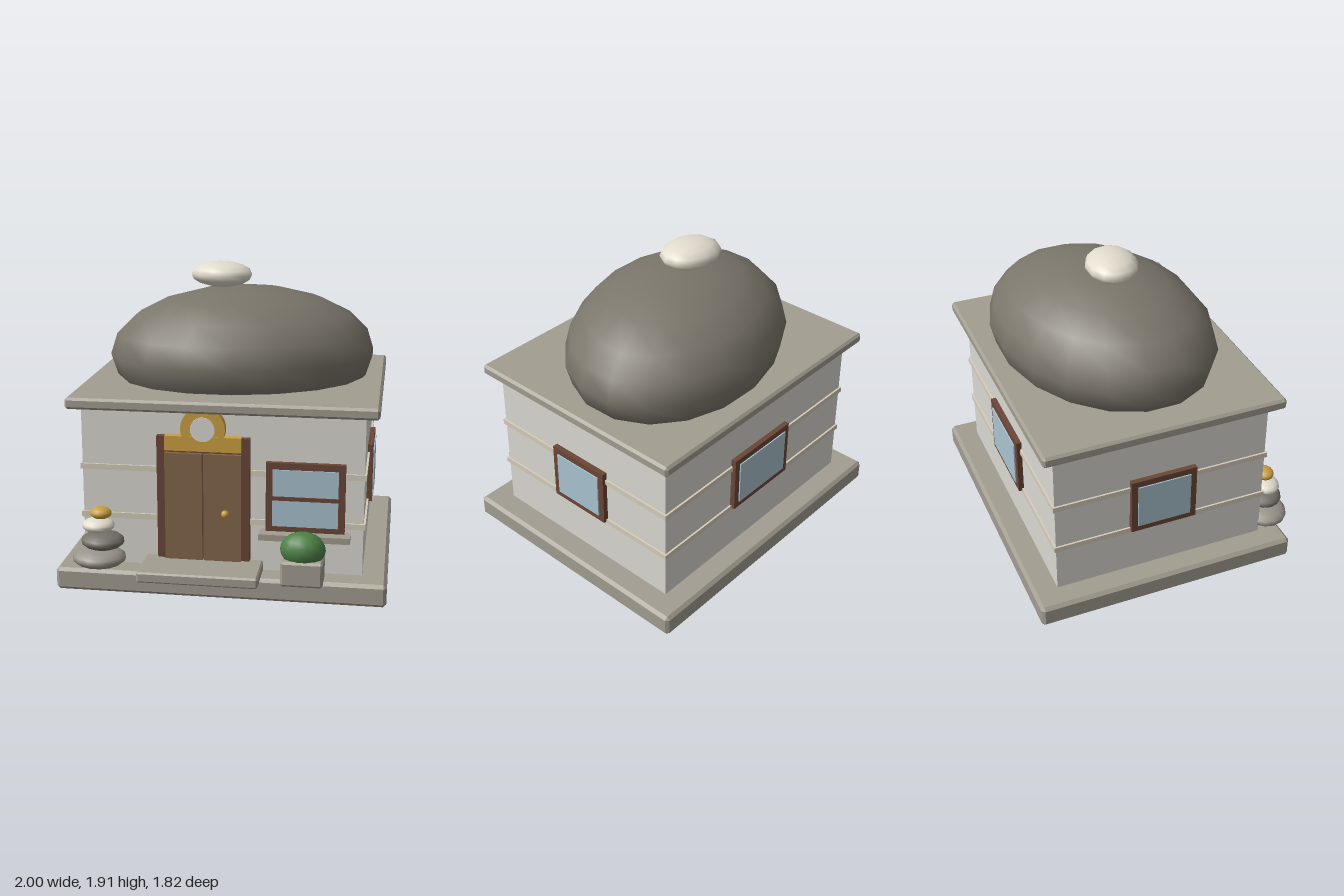
import * as THREE from 'three';
import { ConvexGeometry } from 'three/addons/geometries/ConvexGeometry.js';

const STONE = 0xa29d91, WALL = 0xdad8d2, TRIM = 0xd6cdbb, DARK = 0x7b766b, PALE = 0xe2dccd;
const FRAME = 0x6b4637, DOOR = 0x82664a, GLASS = 0xa9c3cf, GOLD = 0xcb9f42, LEAF = 0x4c8045;

export function createModel() {
  const root = new THREE.Group();

  const add = (name, geometry, color, parent = root) => {
    const mesh = new THREE.Mesh(geometry, new THREE.MeshStandardMaterial({ color }));
    mesh.name = name;
    parent.add(mesh);
    return mesh;
  };

  // Box given by its limits on each axis
  const box = (name, color, [x0, x1], [y0, y1], [z0, z1], parent) => {
    const m = add(name, new THREE.BoxGeometry(x1 - x0, y1 - y0, z1 - z0), color, parent);
    m.position.set((x0 + x1) / 2, (y0 + y1) / 2, (z0 + z1) / 2);
    return m;
  };

  // Box with chamfered edges, given by its limits
  const slab = (name, color, xs, ys, zs, c) => {
    const pts = [];
    for (const i of [0, 1]) for (const j of [0, 1]) for (const k of [0, 1]) {
      const p = [xs[i], ys[j], zs[k]];
      const inward = [i, j, k].map(s => (s ? -c : c));
      for (let axis = 0; axis < 3; axis++) {
        pts.push(new THREE.Vector3(...p.map((v, n) => (n === axis ? v : v + inward[n]))));
      }
    }
    return add(name, new ConvexGeometry(pts), color);
  };

  // Flattened ball
  const pebble = (name, color, pos, radii, ws = 12, hs = 8) => {
    const m = add(name, new THREE.SphereGeometry(1, ws, hs), color);
    m.position.set(...pos);
    m.scale.set(...radii);
    return m;
  };

  // Plinth, walls, bands and roof slab
  slab('plinth', STONE, [-1, 1], [0, 0.14], [-0.91, 0.75], 0.02);
  box('walls', WALL, [-0.85, 0.85], [0.13, 1.13], [-0.76, 0.6]);
  for (const y of [0.43, 0.735]) {
    box('wallBand', TRIM, [-0.862, 0.862], [y, y + 0.035], [-0.772, 0.612]);
  }
  slab('roofSlab', STONE, [-0.93, 0.93], [1.12, 1.19], [-0.84, 0.68], 0.015);

  // Boulder roof, with its underside hidden in the slab, and cap stone
  const boulder = add('roofBoulder', new THREE.SphereGeometry(1, 18, 7, 0, Math.PI * 2, 0, Math.PI * 0.7), DARK);
  boulder.position.set(0.032, 1.34, -0.12);
  boulder.scale.set(0.845, 0.42, 0.63);
  boulder.rotation.y = 0.25;
  const cap = pebble('capStone', PALE, [-0.105, 1.834, -0.1], [0.2, 0.08, 0.16]);
  cap.rotation.y = -0.2;

  // Door with posts, lintel, two leaves and knob
  const doorX = -0.105;
  for (const s of [-1, 1]) {
    const post = doorX + s * 0.255;
    box('doorPost', FRAME, [post - 0.025, post + 0.025], [0.14, 0.97], [0.59, 0.64]);
    const leaf = doorX + s * 0.117;
    box('doorLeaf', DOOR, [leaf - 0.113, leaf + 0.113], [0.16, 0.872], [0.59, 0.658]);
  }
  box('doorBacking', FRAME, [doorX - 0.235, doorX + 0.235], [0.14, 0.97], [0.59, 0.635]);
  const knob = pebble('doorKnob', GOLD, [0.032, 0.51, 0.672], [0.024, 0.024, 0.024]);
  knob.rotation.x = Math.PI / 2;

  // Plaque and round emblem over the door
  box('doorPlaque', GOLD, [doorX - 0.23, doorX + 0.23], [0.885, 0.975], [0.59, 0.652]);
  const disc = (name, color, radius, front) => {
    const m = add(name, new THREE.CylinderGeometry(radius, radius, front - 0.59, 28), color);
    m.rotation.x = Math.PI / 2;
    m.position.set(doorX, 1.02, (front + 0.59) / 2);
  };
  disc('emblemRing', GOLD, 0.134, 0.648);
  disc('emblemDisc', WALL, 0.074, 0.656);

  // Doorstep
  slab('doorstep', STONE, [-0.465, 0.255], [0.14, 0.205], [0.6, 0.905], 0.01);

  // Window facing +z in its own space, then turned onto a wall
  const makeWindow = (name, w, h, x, y, z, turn) => {
    const g = new THREE.Group();
    g.name = name;
    g.position.set(x, y, z);
    g.rotation.y = turn;
    root.add(g);
    box('windowFrame', FRAME, [-w / 2, w / 2], [-h / 2, h / 2], [-0.01, 0.033], g);
    const gx = w / 2 - 0.04, gy = h / 2 - 0.04;
    box('windowGlass', GLASS, [-gx, gx], [-gy, gy], [0, 0.041], g);
    return g;
  };
  const front = makeWindow('frontWindow', 0.47, 0.43, 0.505, 0.615, 0.6, 0);
  box('windowBar', FRAME, [-0.2, 0.2], [-0.012, 0.012], [0, 0.048], front);
  box('windowSill', STONE, [0.235, 0.775], [0.367, 0.405], [0.59, 0.7]);
  makeWindow('leftWindow', 0.42, 0.37, 0.85, 0.633, -0.08, Math.PI / 2);
  makeWindow('rightWindow', 0.42, 0.37, -0.85, 0.633, -0.08, -Math.PI / 2);
  makeWindow('backWindow', 0.52, 0.37, 0, 0.633, -0.76, Math.PI);

  // Balanced pebbles beside the door: colour, x, y, radius, half height
  const stack = [
    [0x99948a, -0.74, 0.205, 0.165, 0.062],
    [0x75716a, -0.715, 0.313, 0.133, 0.055],
    [PALE, -0.74, 0.41, 0.1, 0.045],
    [GOLD, -0.722, 0.488, 0.066, 0.037],
  ];
  for (const [color, x, y, r, h] of stack) {
    pebble('stackedPebble', color, [x, y, 0.69], [r, h, r * 0.87], 14, 10);
  }

  // Planter and bush
  slab('planter', STONE, [0.38, 0.63], [0.14, 0.295], [0.655, 0.845], 0.014);
  pebble('bush', LEAF, [0.505, 0.345, 0.75], [0.135, 0.106, 0.1], 14, 10);

  return root;
}
